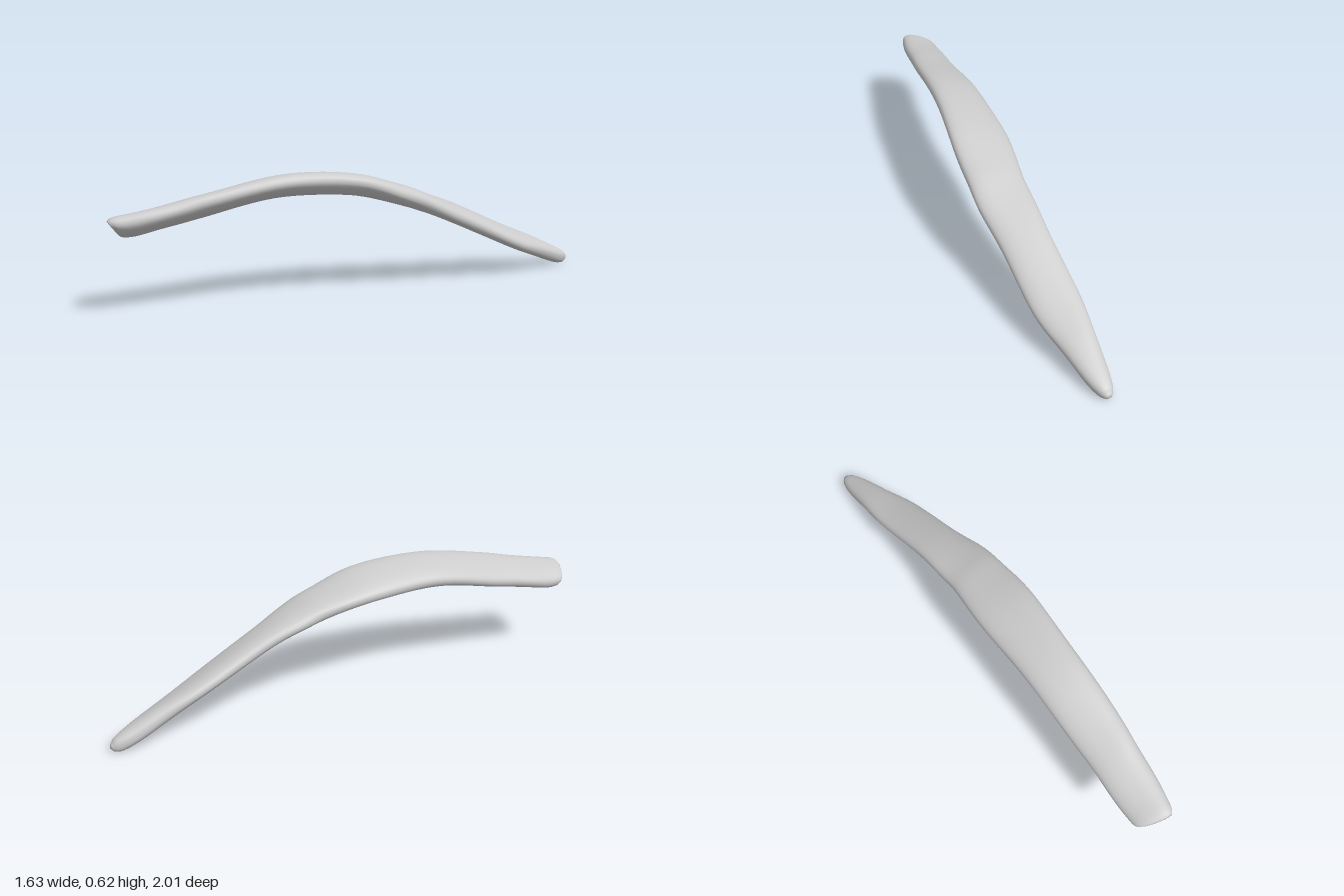
import * as THREE from 'three';

const RINGS = 96, SIDES = 32;
const V = (a) => new THREE.Vector3(...a);

// Stations along the bone: [along, across, height, halfWidth, halfThickness, tilt]
const stations = [
  [-1.225, 0.0, 0.435, 0.072, 0.028, 0.4],
  [-1.2, 0.0, 0.437, 0.088, 0.043, 0.4],
  [-1.12, 0.008, 0.445, 0.1, 0.048, 0.4],
  [-0.97, 0.02, 0.475, 0.108, 0.048, 0.4],
  [-0.8, 0.033, 0.51, 0.115, 0.048, 0.38],
  [-0.45, 0.047, 0.573, 0.125, 0.05, 0.32],
  [-0.1, 0.062, 0.56, 0.14, 0.051, 0.2],
  [0.15, 0.075, 0.498, 0.138, 0.05, 0.06],
  [0.3, 0.077, 0.445, 0.13, 0.047, -0.05],
  [0.5, 0.06, 0.365, 0.118, 0.044, -0.18],
  [0.82, 0.03, 0.22, 0.108, 0.042, -0.28],
  [1.02, 0.002, 0.137, 0.08, 0.043, -0.28],
  [1.16, -0.016, 0.076, 0.056, 0.042, -0.2],
  [1.23, -0.025, 0.049, 0.037, 0.034, -0.12],
  [1.262, -0.029, 0.04, 0.016, 0.016, -0.1],
];

// Horizontal axes: along the bone and across it
const along = V([0.64, 0, -0.77]).normalize();
const across = V([0.77, 0, 0.64]).normalize();
const up = V([0, 1, 0]);

function createBoneGeometry() {
  const curve = (pts) => new THREE.CatmullRomCurve3(pts, false, 'catmullrom', 0.5);
  const path = curve(stations.map(([s, t, y]) =>
    V([0, y, 0]).addScaledVector(along, s).addScaledVector(across, t)));
  const shape = curve(stations.map((k) => V(k.slice(3))));

  const pos = [], index = [];
  for (let i = 0; i <= RINGS; i++) {
    const u = i / RINGS;
    const c = path.getPoint(u);
    const { x: halfW, y: halfT, z: tilt } = shape.getPoint(u);
    const wide = across.clone().addScaledVector(up, tilt);
    const thick = wide.clone().cross(path.getTangent(u)).normalize();
    const shear = Math.max(0, 1 - u / 0.18); // broken end is cut at a slant
    for (let j = 0; j < SIDES; j++) {
      const a = (j / SIDES) * Math.PI * 2;
      // rounded-strip section with faint unevenness
      const wave = 1 + 0.02 * Math.sin(u * 45 + 2 * a) * Math.sin(u * Math.PI);
      const w = Math.sign(Math.cos(a)) * Math.abs(Math.cos(a)) ** 0.85 * halfW * wave;
      const n = Math.sign(Math.sin(a)) * Math.abs(Math.sin(a)) ** 0.85 * halfT * wave;
      const p = c.clone().addScaledVector(wide, w).addScaledVector(thick, n)
        .addScaledVector(along, shear * (-0.35 * w - 0.6 * n));
      pos.push(p.x, p.y, p.z);
    }
  }
  // Skin
  for (let i = 0; i < RINGS; i++) {
    for (let j = 0; j < SIDES; j++) {
      const k = (j + 1) % SIDES;
      const a = i * SIDES + j, a1 = i * SIDES + k, b = a + SIDES, b1 = a1 + SIDES;
      index.push(a, b, a1, a1, b, b1);
    }
  }
  // End caps: hollowed at the broad end, pointed out at the tip
  const first = path.getPoint(0).addScaledVector(along, 0.03);
  const last = path.getPoint(1).addScaledVector(along, 0.006);
  const c0 = pos.length / 3, base = RINGS * SIDES;
  pos.push(first.x, first.y, first.z, last.x, last.y, last.z);
  for (let j = 0; j < SIDES; j++) {
    const k = (j + 1) % SIDES;
    index.push(c0, j, k, c0 + 1, base + k, base + j);
  }

  const g = new THREE.BufferGeometry();
  g.setAttribute('position', new THREE.Float32BufferAttribute(pos, 3));
  g.setIndex(index);
  g.computeVertexNormals();
  return g;
}

export function createModel() {
  const group = new THREE.Group();
  group.name = 'ribBone';
  const paleGrey = new THREE.MeshStandardMaterial({ color: 0xcccccc });
  paleGrey.name = 'paleGrey';
  const bone = new THREE.Mesh(createBoneGeometry(), paleGrey);
  bone.name = 'curvedBone';
  group.add(bone);
  return group;
}
